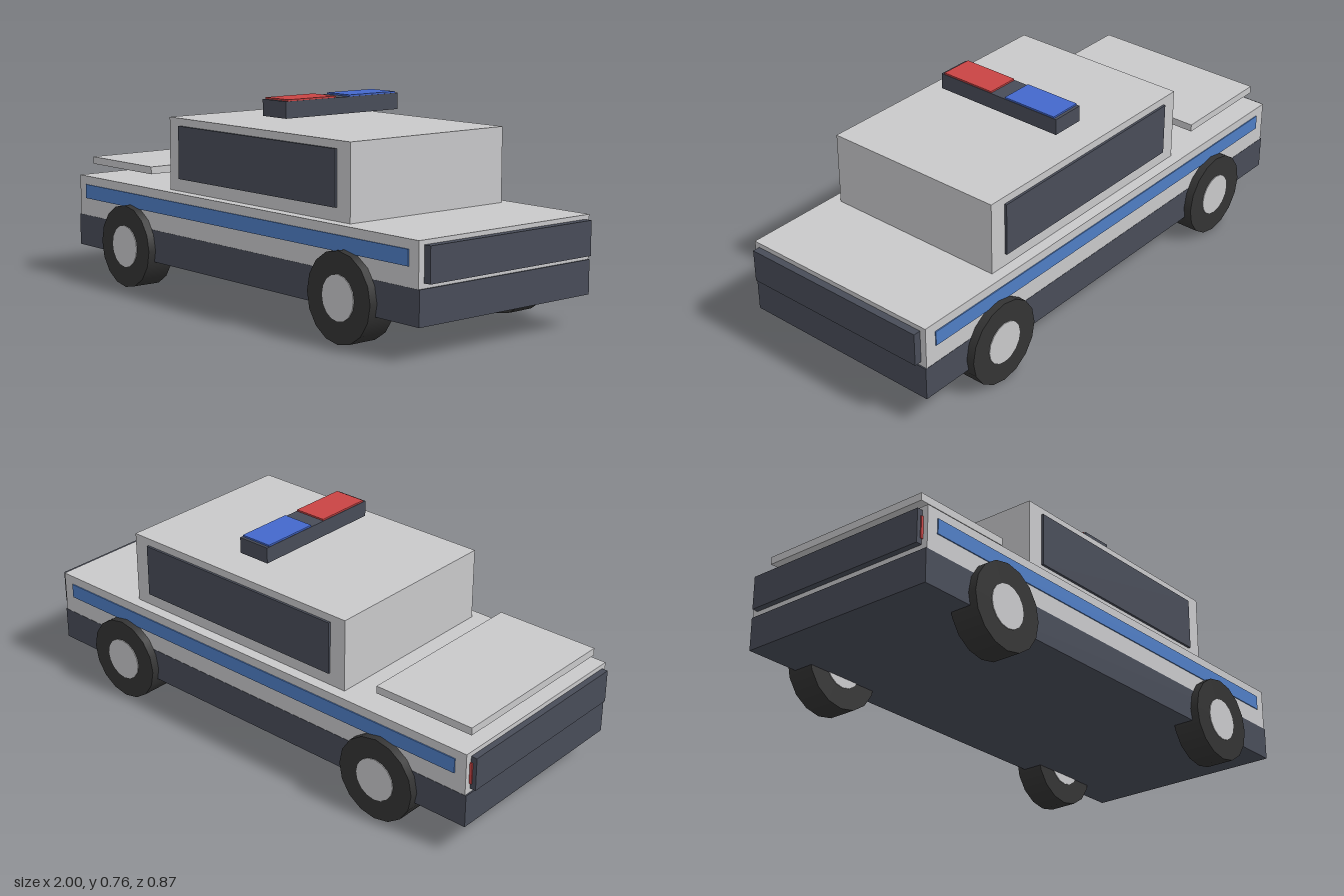
import * as THREE from 'three';

const paint = (name, color) => {
  const m = new THREE.MeshStandardMaterial({ color });
  m.name = name;
  return m;
};

export function createModel() {
  const car = new THREE.Group();
  car.name = 'patrolCar';

  const grey = paint('paleGrey', 0xc8c8ca);
  const slate = paint('slate', 0x484c58);
  const stripeBlue = paint('stripeBlue', 0x4f7dc4);
  const lampBlue = paint('lampBlue', 0x4468cc);
  const red = paint('lampRed', 0xc84444);
  const rubber = paint('rubber', 0x333333);

  // Box given by its extents along each axis
  const box = (name, mat, [x0, x1], [y0, y1], [z0, z1]) => {
    const mesh = new THREE.Mesh(new THREE.BoxGeometry(x1 - x0, y1 - y0, z1 - z0), mat);
    mesh.position.set((x0 + x1) / 2, (y0 + y1) / 2, (z0 + z1) / 2);
    mesh.name = name;
    car.add(mesh);
  };

  // Lower sill, body, cabin and raised lid
  box('chassis', slate, [-0.98, 0.975], [0.115, 0.237], [-0.4, 0.4]);
  box('body', grey, [-0.975, 0.97], [0.237, 0.393], [-0.399, 0.399]);
  box('cabin', grey, [-0.42, 0.597], [0.393, 0.665], [-0.357, 0.357]);
  box('lid', grey, [-0.955, -0.555], [0.435, 0.463], [-0.35, 0.35]);

  // End plates and the tail lamps tucked behind one of them
  box('frontPlate', slate, [0.972, 1], [0.255, 0.378], [-0.377, 0.377]);
  box('rearPlate', slate, [-1, -0.977], [0.255, 0.378], [-0.377, 0.377]);

  for (const s of [-1, 1]) {
    const span = (a, b) => (s > 0 ? [a, b] : [-b, -a]);
    box('tailLamp', red, [-0.985, -0.974], [0.275, 0.355], span(0.3, 0.381));
    // Side glass and stripe
    box('sideWindow', slate, [-0.355, 0.53], [0.44, 0.637], span(0.357, 0.366));
    box('sideStripe', stripeBlue, [-0.93, 0.925], [0.305, 0.36], span(0.398, 0.403));
    // Roof lamps: red on one side, blue on the other
    box('roofLamp', s > 0 ? red : lampBlue, [0.022, 0.148], [0.757, 0.764], span(0.032, 0.253));

    // Wheels with hubs running through the tyre
    for (const x of [-0.62, 0.62]) {
      const wheel = new THREE.Group();
      wheel.name = 'wheel';
      const tyre = new THREE.Mesh(new THREE.CylinderGeometry(0.158, 0.158, 0.11, 16), rubber);
      tyre.name = 'tyre';
      const hub = new THREE.Mesh(new THREE.CylinderGeometry(0.08, 0.08, 0.116, 16), grey);
      hub.name = 'hub';
      wheel.add(tyre, hub);
      wheel.rotation.x = Math.PI / 2;
      wheel.position.set(x, 0.158, s * 0.375);
      car.add(wheel);
    }
  }

  // Roof light bar
  box('lightBar', slate, [0.02, 0.15], [0.698, 0.758], [-0.265, 0.265]);

  return car;
}
